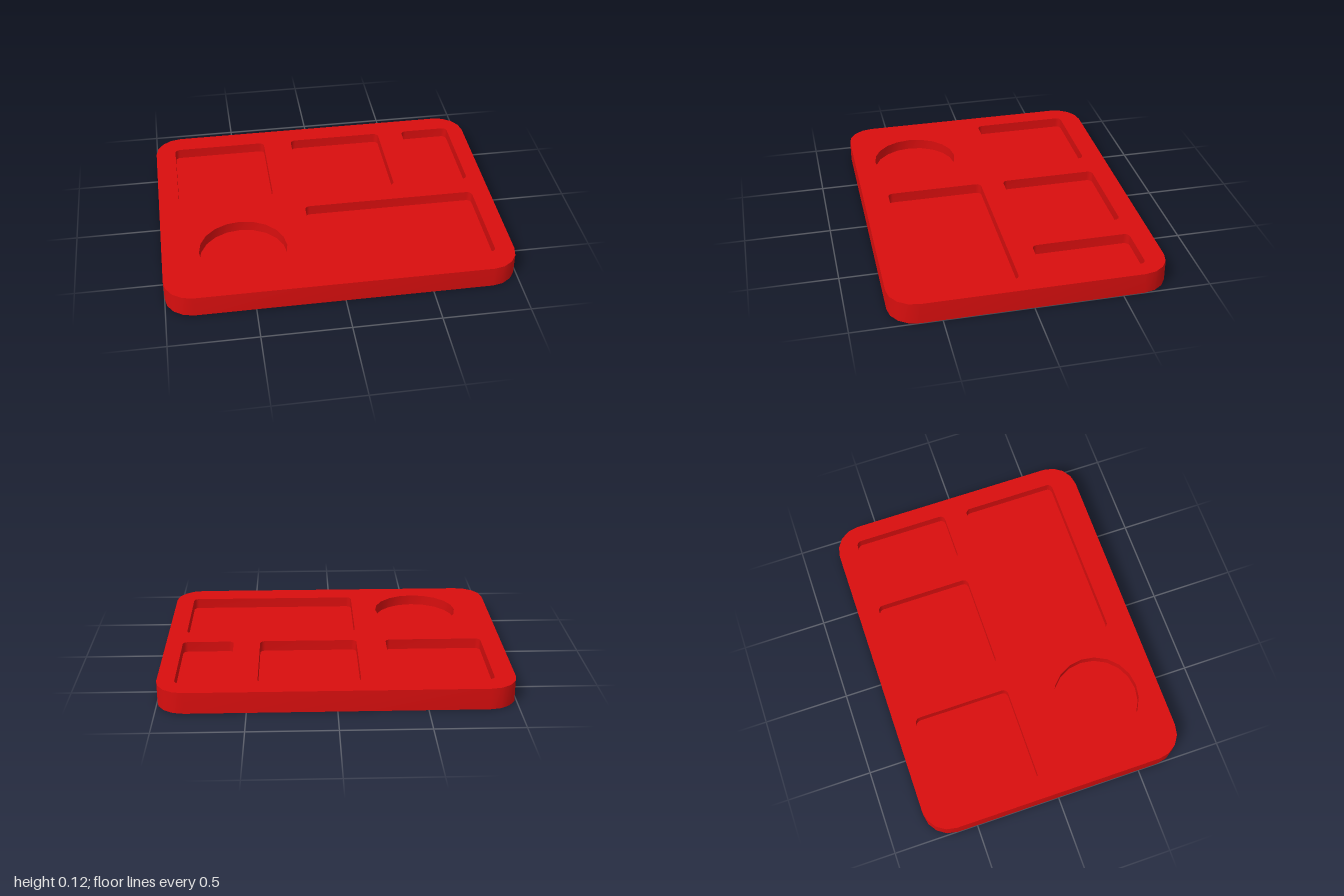
import * as THREE from 'three';
import { toCreasedNormals } from 'three/addons/utils/BufferGeometryUtils.js';

const HEIGHT = 0.125;
const FLOOR = 0.063;

// Counter-clockwise outlines in plan; plan y is -z.
function roundedRect(x0, x1, z0, z1, r, segments) {
  const corners = [[x1 - r, -z0 - r], [x0 + r, -z0 - r], [x0 + r, -z1 + r], [x1 - r, -z1 + r]];
  return corners.flatMap(([cx, cy], k) => Array.from({ length: segments + 1 }, (_, i) => {
    const a = (k + i / segments) * Math.PI / 2;
    return new THREE.Vector2(cx + r * Math.cos(a), cy + r * Math.sin(a));
  }));
}

function circle(cx, cz, r, segments) {
  return Array.from({ length: segments }, (_, i) => {
    const a = i / segments * Math.PI * 2;
    return new THREE.Vector2(cx + r * Math.cos(a), -cz + r * Math.sin(a));
  });
}

// Upright band along an outline; smooth round the corners.
function wall(points, y0, y1) {
  const pos = [];
  points.forEach((a, i) => {
    const b = points[(i + 1) % points.length];
    pos.push(a.x, y0, -a.y, b.x, y0, -b.y, b.x, y1, -b.y);
    pos.push(a.x, y0, -a.y, b.x, y1, -b.y, a.x, y1, -a.y);
  });
  const geometry = new THREE.BufferGeometry();
  geometry.setAttribute('position', new THREE.Float32BufferAttribute(pos, 3));
  return toCreasedNormals(geometry, 0.7);
}

// Level face filling an outline, looking up or down.
function face(points, y, holes = [], up = true) {
  const shape = new THREE.Shape(points);
  shape.holes = holes.map((h) => new THREE.Path(h));
  return new THREE.ShapeGeometry(shape).rotateX(up ? -Math.PI / 2 : Math.PI / 2).translate(0, y, 0);
}

export function createModel() {
  const red = new THREE.MeshStandardMaterial({ color: 0xd80e0e });
  red.name = 'trayRed';

  const model = new THREE.Group();
  model.name = 'compartmentTray';
  const add = (parent, name, geometry) => {
    const mesh = new THREE.Mesh(geometry, red);
    mesh.name = name;
    parent.add(mesh);
  };

  const outline = roundedRect(-1, 1, -0.78, 0.78, 0.16, 4);
  const pockets = {
    backRightPocket: roundedRect(-0.88, -0.31, -0.655, -0.083, 0.03, 4),
    backMiddlePocket: roundedRect(-0.135, 0.44, -0.655, -0.083, 0.03, 4),
    backLeftPocket: roundedRect(0.597, 0.9, -0.655, -0.083, 0.03, 4),
    mainPocket: roundedRect(-0.135, 0.89, 0.057, 0.63, 0.03, 4),
    cupPocket: circle(-0.535, 0.4, 0.253, 20),
  };

  // Tray body
  add(model, 'topFace', face(outline, HEIGHT, Object.values(pockets)));
  add(model, 'outerWall', wall(outline, 0, HEIGHT));
  add(model, 'underside', face(outline, 0, [], false));

  // Sunken compartments
  for (const [name, points] of Object.entries(pockets)) {
    const pocket = new THREE.Group();
    pocket.name = name;
    add(pocket, name + 'Floor', face(points, FLOOR));
    add(pocket, name + 'Wall', wall([...points].reverse(), FLOOR, HEIGHT));
    model.add(pocket);
  }
  return model;
}
